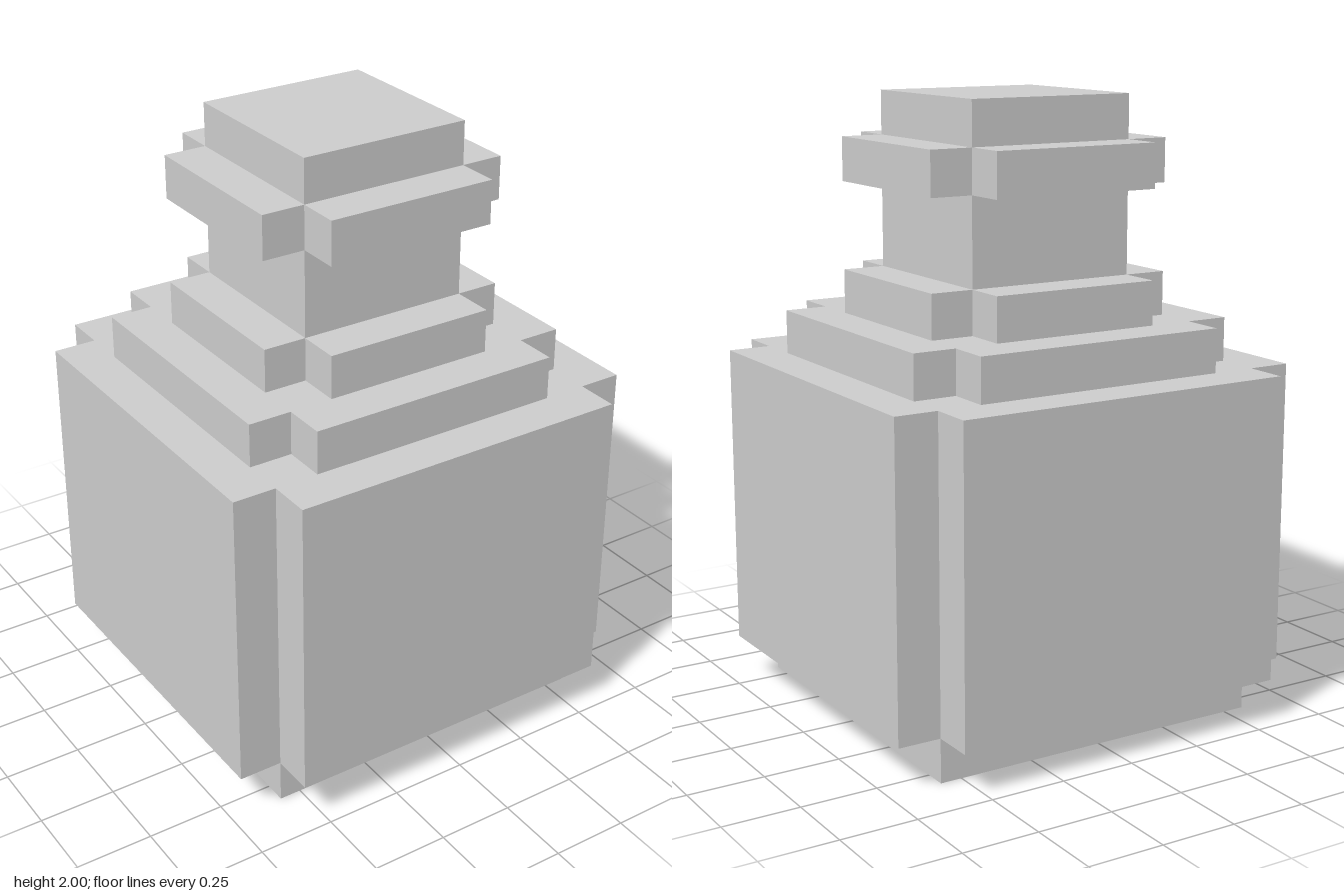
import * as THREE from 'three';

const U = 1 / 7; // one block

export function createModel() {
  const group = new THREE.Group();
  const material = new THREE.MeshStandardMaterial({ color: 0xcccccc, flatShading: true });

  // Square slab with its four corners notched in by `notch` blocks
  function layer(name, half, notch, y0, y1) {
    const a = half * U;
    const b = (half - notch) * U;
    const outline = [];
    // one quarter of the outline, turned four times
    for (let i = 0; i < 4; i++) {
      const corner = notch ? [[a, -b], [a, b], [b, b]] : [[a, a]];
      for (const [x, y] of corner) {
        outline.push(new THREE.Vector2(x, y).rotateAround(new THREE.Vector2(), i * Math.PI / 2));
      }
    }
    const geometry = new THREE.ExtrudeGeometry(new THREE.Shape(outline), {
      depth: (y1 - y0) * U,
      bevelEnabled: false,
    });
    geometry.rotateX(-Math.PI / 2);
    const mesh = new THREE.Mesh(geometry, material);
    mesh.name = name;
    mesh.position.y = y0 * U;
    group.add(mesh);
  }

  layer('base', 4, 0, 0, 1);
  layer('body', 5, 1, 1, 8);
  layer('lowerShoulder', 4, 1, 8, 9);
  layer('upperShoulder', 3, 1, 9, 10);
  layer('neck', 2, 0, 10, 12);
  layer('rim', 3, 1, 12, 13);
  layer('stopper', 2, 0, 13, 14);

  return group;
}
